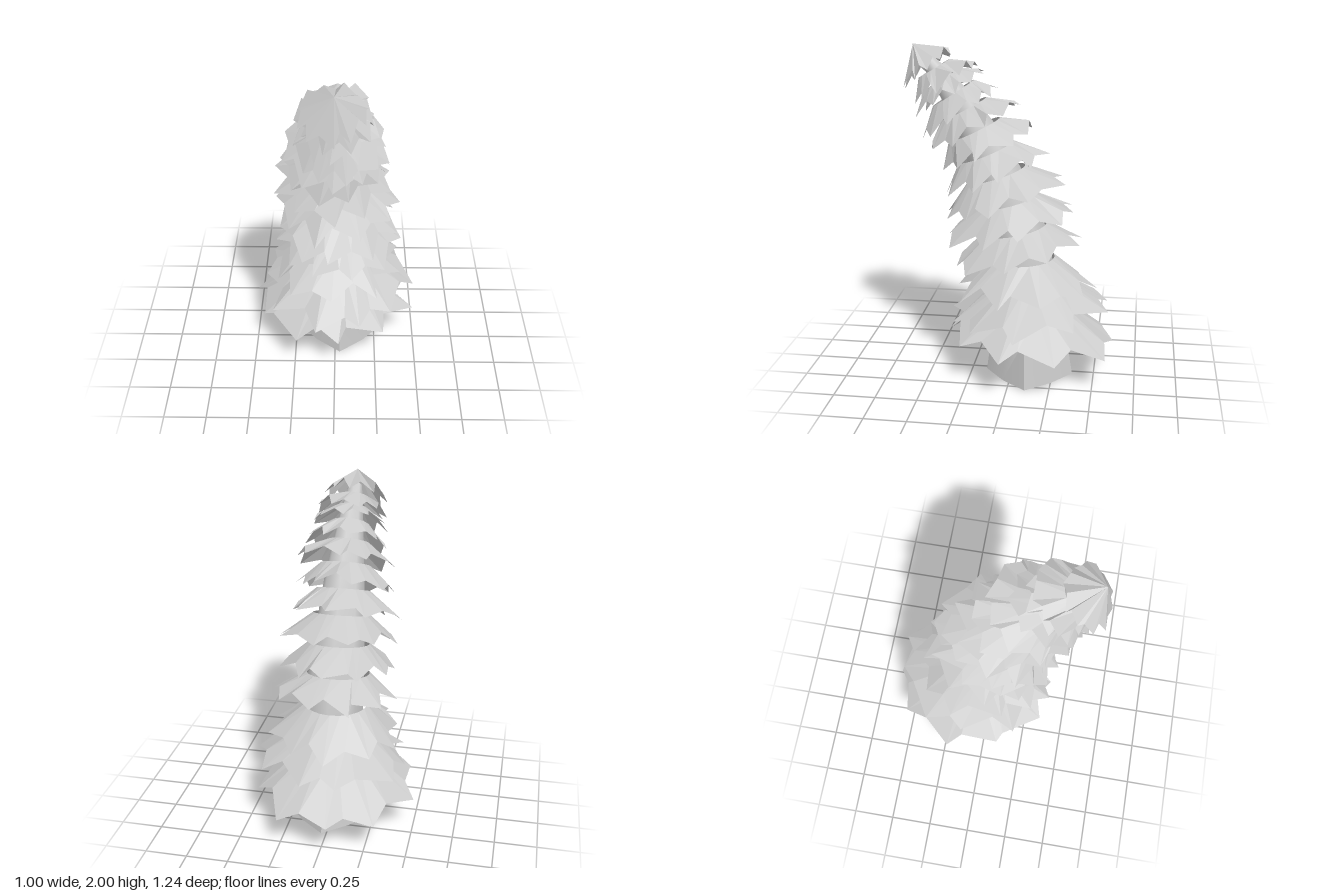
import * as THREE from 'three';
import { toCreasedNormals } from 'three/addons/utils/BufferGeometryUtils.js';

// Seeded random numbers
function seeded(seed) {
  return () => {
    seed = (seed * 16807) % 2147483647;
    return seed / 2147483647;
  };
}

// Join equal-length rings of points (running from +z towards +x), listed bottom to top
function loft(rings) {
  const n = rings[0].length;
  const index = [];
  for (let r = 0; r < rings.length - 1; r++) {
    for (let i = 0; i < n; i++) {
      const a = r * n + i, b = r * n + (i + 1) % n;
      index.push(a, b, b + n, a, b + n, a + n);
    }
  }
  const geo = new THREE.BufferGeometry().setFromPoints(rings.flat());
  geo.setIndex(index);
  return geo;
}

// Tilted ellipse point: front and back are [z, y], xMin and xMax are the side extents
function rimPoint(front, back, xMin, xMax, angle, scale) {
  const c = Math.cos(angle) * scale, s = Math.sin(angle) * scale;
  return new THREE.Vector3(
    (xMin + xMax) / 2 + s * (xMax - xMin) / 2,
    (front[1] + back[1]) / 2 + c * (front[1] - back[1]) / 2,
    (front[0] + back[0]) / 2 + c * (front[0] - back[0]) / 2);
}

// Skirts: front tip [z, y], back tip [z, y], x extents, collar centre [z, y], collar radius
const TIERS = [
  [[0.42, 0.28], [-0.64, 0.22], -0.49, 0.48, [-0.10, 0.45], 0.21],
  [[0.40, 0.35], [-0.59, 0.47], -0.45, 0.47, [-0.09, 0.60], 0.20],
  [[0.36, 0.55], [-0.50, 0.58], -0.40, 0.39, [-0.06, 0.74], 0.19],
  [[0.36, 0.71], [-0.42, 0.86], -0.34, 0.38, [-0.01, 0.92], 0.19],
  [[0.42, 0.85], [-0.37, 1.04], -0.35, 0.36, [0.04, 1.09], 0.18],
  [[0.42, 1.00], [-0.30, 1.23], -0.34, 0.36, [0.10, 1.25], 0.17],
  [[0.42, 1.13], [-0.21, 1.39], -0.34, 0.31, [0.16, 1.38], 0.16],
  [[0.43, 1.27], [-0.12, 1.53], -0.32, 0.29, [0.23, 1.51], 0.15],
  [[0.50, 1.39], [-0.04, 1.67], -0.29, 0.29, [0.29, 1.63], 0.13],
  [[0.54, 1.47], [0.09, 1.76], -0.24, 0.26, [0.35, 1.72], 0.12],
  [[0.57, 1.60], [0.16, 1.86], -0.22, 0.23, [0.41, 1.80], 0.10],
  [[0.58, 1.67], [0.20, 1.90], -0.21, 0.22, [0.46, 1.86], 0.09],
  [[0.64, 1.76], [0.36, 1.96], -0.20, 0.18, [0.58, 2.00], 0],
];

function skirt([front, back, xMin, xMax, [cz, cy], radius], k) {
  const rand = seeded(1237 + k * 911);
  const n = 20;
  const step = Math.PI * 2 / n;
  const phase = k % 2 ? step : 0;
  const slope = (front[1] - back[1]) / (front[0] - back[0]);
  const collar = [], rim = [];
  for (let i = 0; i < n; i++) {
    const a = phase + i * step;
    const tip = i % 2 === 0;
    // Collar lies in the same tilted plane as the rim
    collar.push(new THREE.Vector3(Math.sin(a) * radius,
      cy + Math.cos(a) * radius * slope, cz + Math.cos(a) * radius));
    // Long drooping tips alternate with shorter, higher notches
    const scale = tip ? 0.94 + 0.12 * rand() : 0.77 + 0.14 * rand();
    const p = rimPoint(front, back, xMin, xMax, a + (rand() - 0.5) * step * 0.9, scale);
    p.y += tip ? -0.03 * rand() : 0.02 + rand() * 0.04;
    rim.push(p);
  }
  const geo = loft([rim, collar]).toNonIndexed();
  geo.computeVertexNormals();
  return geo;
}

// Trunk sections: x, y, z, radius, forward lean, roundness (0.76 is nearly square)
const TRUNK = [
  [0.03, 0, -0.105, 0.265, 0, 0.78], [0.03, 0.3, -0.1, 0.22, 0, 0.8],
  [0.02, 0.6, -0.08, 0.185, 0.1, 0.95], [0.01, 0.9, -0.03, 0.17, 0.25, 1],
  [0, 1.2, 0.07, 0.145, 0.36, 1], [0, 1.45, 0.18, 0.12, 0.45, 1],
  [0, 1.65, 0.3, 0.09, 0.58, 1], [0, 1.8, 0.41, 0.065, 0.68, 1],
  [0, 1.92, 0.51, 0.04, 0.7, 1],
];

// Open-ended bent trunk, square at the foot and round above
function trunkGeometry() {
  const sides = 8;
  const rings = TRUNK.map(([x, y, z, radius, lean, round]) =>
    Array.from({ length: sides }, (_, i) => {
      const a = i / sides * Math.PI * 2;
      const r = i % 2 ? radius * round : radius;
      return new THREE.Vector3(x + Math.sin(a) * r,
        y - Math.cos(a) * r * Math.sin(lean), z + Math.cos(a) * r * Math.cos(lean));
    }));
  return toCreasedNormals(loft(rings), 1.1);
}

export function createModel() {
  const tree = new THREE.Group();
  tree.name = 'leaningTree';

  const bark = new THREE.MeshStandardMaterial({ color: 0xcccccc, side: THREE.DoubleSide });
  const needles = new THREE.MeshStandardMaterial({
    color: 0xcccccc, flatShading: true, side: THREE.DoubleSide });

  const trunk = new THREE.Mesh(trunkGeometry(), bark);
  trunk.name = 'trunk';
  tree.add(trunk);

  // Overlapping jagged skirts up the bent trunk, ending in a pointed cap
  const foliage = new THREE.Group();
  foliage.name = 'foliage';
  TIERS.forEach((tier, k) => {
    const mesh = new THREE.Mesh(skirt(tier, k), needles);
    mesh.name = k === TIERS.length - 1 ? 'treetop' : `branchTier${k + 1}`;
    foliage.add(mesh);
  });
  tree.add(foliage);
  return tree;
}
